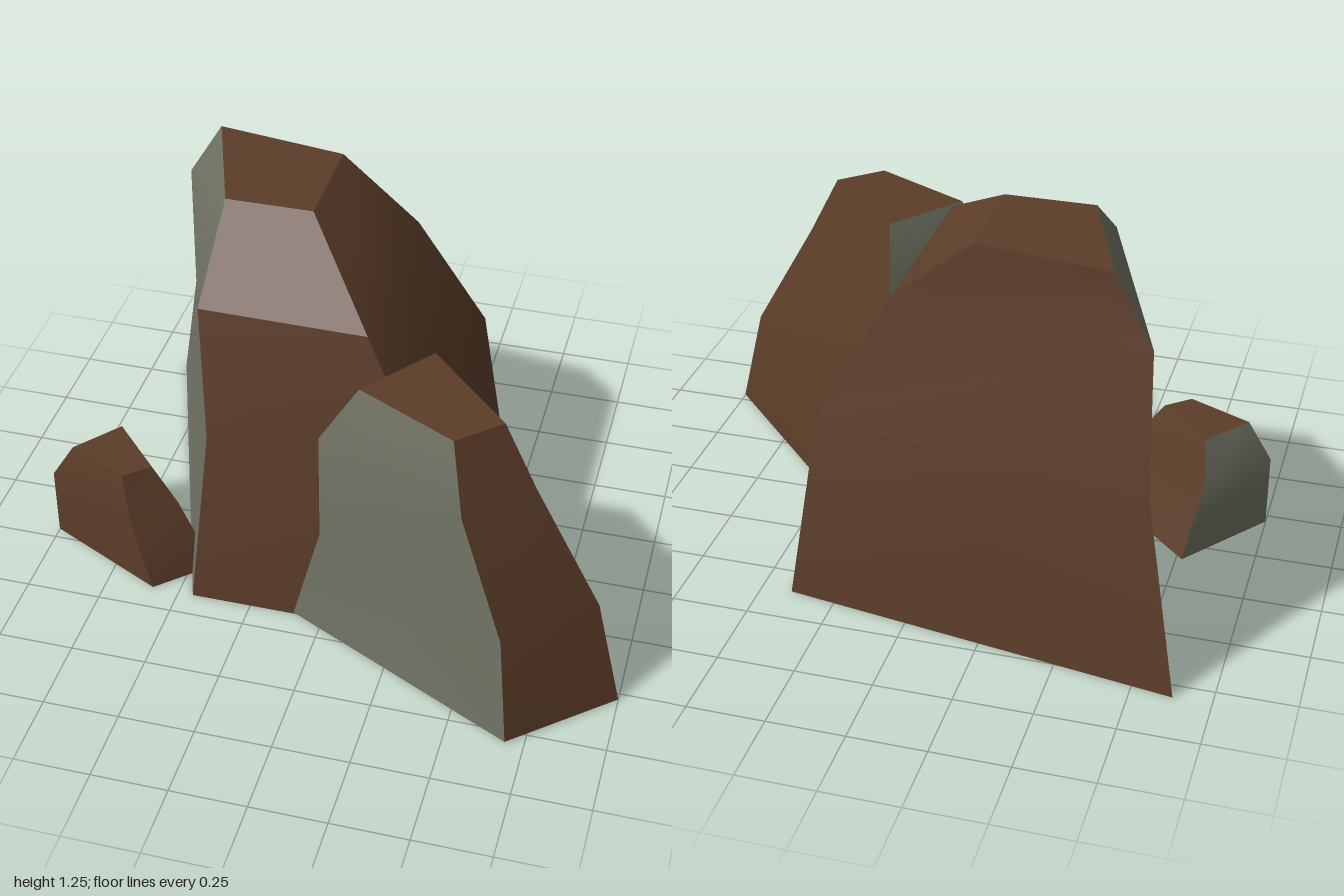
import * as THREE from 'three';
import { toCreasedNormals } from 'three/addons/utils/BufferGeometryUtils.js';

const earth = new THREE.MeshStandardMaterial({ name: 'brownRock', color: 0x5c3d29 });
const slate = new THREE.MeshStandardMaterial({ name: 'greyRock', color: 0x6f7262 });

// Each rock is a stack of four-cornered cross-sections.
// Corners run counter-clockwise seen from above, as [x, z].
const rocks = [
  {
    name: 'tallRock',
    greySides: [0],
    heights: [0, 0.62, 1.03, 1.245],
    rings: [
      [[-0.88, -0.81], [-0.45, 0.41], [0.40, 0.41], [0.40, -0.61]],
      [[-0.76, -0.70], [-0.40, 0.33], [0.32, 0.33], [0.32, -0.54]],
      [[-0.73, -0.57], [-0.45, 0.21], [0.10, 0.22], [0.10, -0.45]],
      [[-0.60, -0.53], [-0.45, -0.10], [-0.16, -0.10], [-0.16, -0.46]],
    ],
  },
  {
    name: 'leaningRock',
    greySides: [0, 3],
    heights: [0.005, 0.36, 0.75, 0.965],
    rings: [
      [[-0.10, 0.41], [0.69, 0.80], [1.00, 0.53], [0.40, -0.10]],
      [[-0.01, 0.40], [0.65, 0.74], [0.91, 0.50], [0.36, -0.08]],
      [[-0.01, 0.40], [0.50, 0.66], [0.69, 0.47], [0.26, 0.03]],
      [[0.12, 0.40], [0.45, 0.57], [0.58, 0.45], [0.30, 0.16]],
    ],
  },
  {
    name: 'smallRock',
    greySides: [3],
    heights: [0.003, 0.11, 0.25, 0.38],
    rings: [
      [[-1.00, 0.21], [-0.59, 0.41], [-0.42, 0.25], [-0.77, -0.09]],
      [[-1.00, 0.21], [-0.63, 0.39], [-0.47, 0.26], [-0.79, -0.05]],
      [[-1.00, 0.21], [-0.68, 0.35], [-0.54, 0.25], [-0.82, 0.00]],
      [[-0.92, 0.21], [-0.71, 0.31], [-0.63, 0.24], [-0.80, 0.06]],
    ],
  },
];

// Builds a mesh from quads, keeping only the strong bends sharp
function quadMesh(name, quads, material) {
  const positions = quads.flatMap(([a, b, c, d]) => [a, b, c, a, c, d].flat());
  const geometry = new THREE.BufferGeometry();
  geometry.setAttribute('position', new THREE.Float32BufferAttribute(positions, 3));
  const mesh = new THREE.Mesh(toCreasedNormals(geometry, 0.55), material);
  mesh.name = name;
  return mesh;
}

function createRock({ name, greySides, heights, rings }) {
  const rock = new THREE.Group();
  rock.name = name;
  const levels = rings.map((ring, k) => ring.map(([x, z]) => [x, heights[k], z]));

  // Four side faces, each running from the ground to the top
  for (let i = 0; i < 4; i++) {
    const j = (i + 1) % 4;
    const quads = [];
    for (let k = 0; k < levels.length - 1; k++) {
      const low = levels[k], high = levels[k + 1];
      quads.push([low[i], low[j], high[j], high[i]]);
    }
    rock.add(quadMesh(`side${i + 1}`, quads, greySides.includes(i) ? slate : earth));
  }

  // Flat top and underside
  rock.add(quadMesh('top', [levels[levels.length - 1]], earth));
  rock.add(quadMesh('underside', [[...levels[0]].reverse()], earth));
  return rock;
}

export function createModel() {
  const model = new THREE.Group();
  model.name = 'rockCluster';
  rocks.forEach((rock) => model.add(createRock(rock)));
  return model;
}
